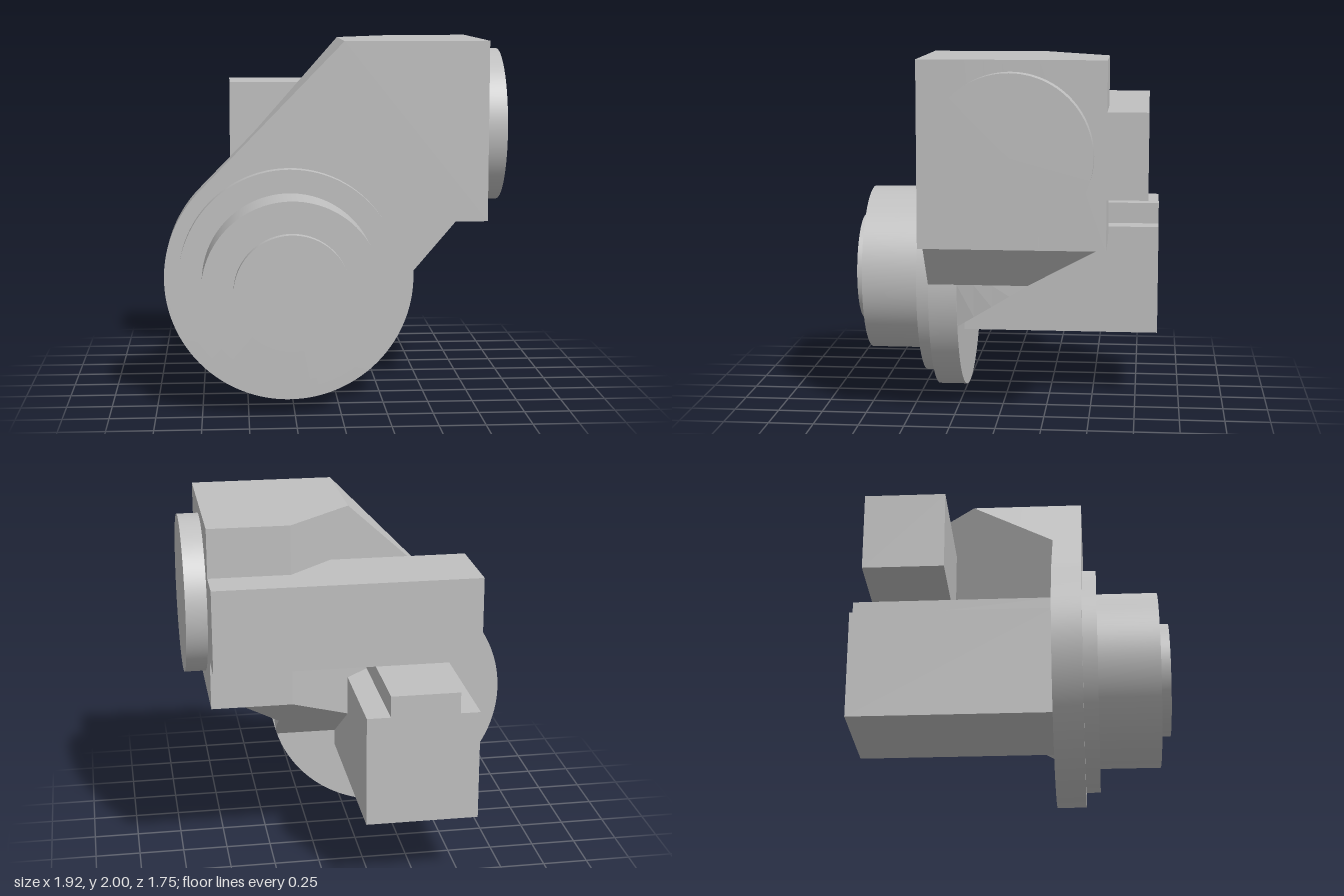
import * as THREE from 'three';
import { toCreasedNormals } from 'three/addons/utils/BufferGeometryUtils.js';

const CX = -0.267, CY = 0.693, R = 0.693; // main axis and plate radius

export function createModel() {
  const model = new THREE.Group();
  model.name = 'angleHousing';
  const steel = new THREE.MeshStandardMaterial({ color: 0xc0c0c0 });
  steel.name = 'plain grey';

  const add = (name, geometry, x = 0, y = 0, z = 0) => {
    const mesh = new THREE.Mesh(geometry, steel);
    mesh.name = name;
    mesh.position.set(x, y, z);
    model.add(mesh);
    return mesh;
  };
  const box = (name, x0, x1, y0, y1, z0, z1) =>
    add(name, new THREE.BoxGeometry(x1 - x0, y1 - y0, z1 - z0), (x0 + x1) / 2, (y0 + y1) / 2, (z0 + z1) / 2);
  const disc = (name, r, z0, z1) =>
    add(name, new THREE.CylinderGeometry(r, r, z1 - z0, 96).rotateX(Math.PI / 2), CX, CY, (z0 + z1) / 2);

  // Front plate: round lower end, running up into the square head
  const k = R * Math.SQRT1_2;
  const slope = (2 - CY - k) / (0.04 - CX + k);
  const outline = new THREE.Shape();
  outline.moveTo(0.04, 2);
  outline.lineTo(0.84, 2);
  outline.lineTo(0.84, 1);
  outline.lineTo(0.66, 1);
  outline.lineTo(0.425, 0.725);
  outline.absarc(CX, CY, R, 0.046, Math.PI * 0.75, true);
  outline.closePath();
  const plate = new THREE.ExtrudeGeometry(outline, { depth: 0.16, bevelEnabled: false, curveSegments: 72 });
  add('frontPlate', toCreasedNormals(plate, 0.4), 0, 0, 0.245);

  // Head body: sections from the plate to the back, cut by a diagonal side and a sloping underside
  const section = (z) => {
    const t = (0.245 - z) / 0.84;
    const left = -0.46 + 0.86 * t;
    const low = 0.48 + 0.52 * t;
    const kneeY = Math.max(0.725, low);
    const kneeX = 0.425 + (kneeY - 0.725) * (0.235 / 0.275);
    const lowX = low < 0.725 ? CX + Math.sqrt(R * R - (low - CY) ** 2) : kneeX;
    return [
      [left, Math.min(2, 2 - (0.04 - left) * slope)], [Math.max(left, 0.04), 2],
      [0.84, 2], [0.84, 1], [0.66, 1], [kneeX, kneeY], [lowX, low], [left, low],
    ].map(([x, y]) => [x, y, z]);
  };
  const rings = [0.245, 0.15, 0.05, -0.05, -0.151, -0.243, -0.595].map(section);
  const pos = [];
  for (let i = 0; i < rings.length - 1; i++) {
    for (let j = 0; j < 8; j++) {
      const n = (j + 1) % 8;
      const a = rings[i][j], b = rings[i][n], c = rings[i + 1][n], d = rings[i + 1][j];
      pos.push(...a, ...b, ...c, ...a, ...c, ...d);
    }
  }
  const back = rings[rings.length - 1];
  for (let j = 1; j < 7; j++) pos.push(...back[0], ...back[j], ...back[j + 1]);
  const head = new THREE.BufferGeometry();
  head.setAttribute('position', new THREE.Float32BufferAttribute(pos, 3));
  head.computeVertexNormals();
  add('headBody', head);

  // Stepped round boss on the front
  disc('bossFlange', 0.613, 0.405, 0.483);
  disc('bossDrum', 0.483, 0.483, 0.815);
  disc('bossCap', 0.311, 0.815, 0.873);

  // Round cap on the side of the head
  add('sideCap', new THREE.CylinderGeometry(0.437, 0.437, 0.118, 96).rotateZ(Math.PI / 2), 0.897, 1.502, -0.092);

  // Cross bar behind the head
  box('crossBar', -0.59, 0.84, 1.273, 1.732, -0.812, -0.355);

  // Rear block with a raised centre rail
  const block = new THREE.Shape([
    [-0.576, 0.385], [0.042, 0.385], [0.042, 1.003], [-0.088, 1.003],
    [-0.088, 1.122], [-0.466, 1.122], [-0.466, 1.003], [-0.576, 1.003],
  ].map(([x, y]) => new THREE.Vector2(x, y)));
  add('rearBlock', new THREE.ExtrudeGeometry(block, { depth: 1.12, bevelEnabled: false }), 0, 0, -0.873);

  return model;
}
